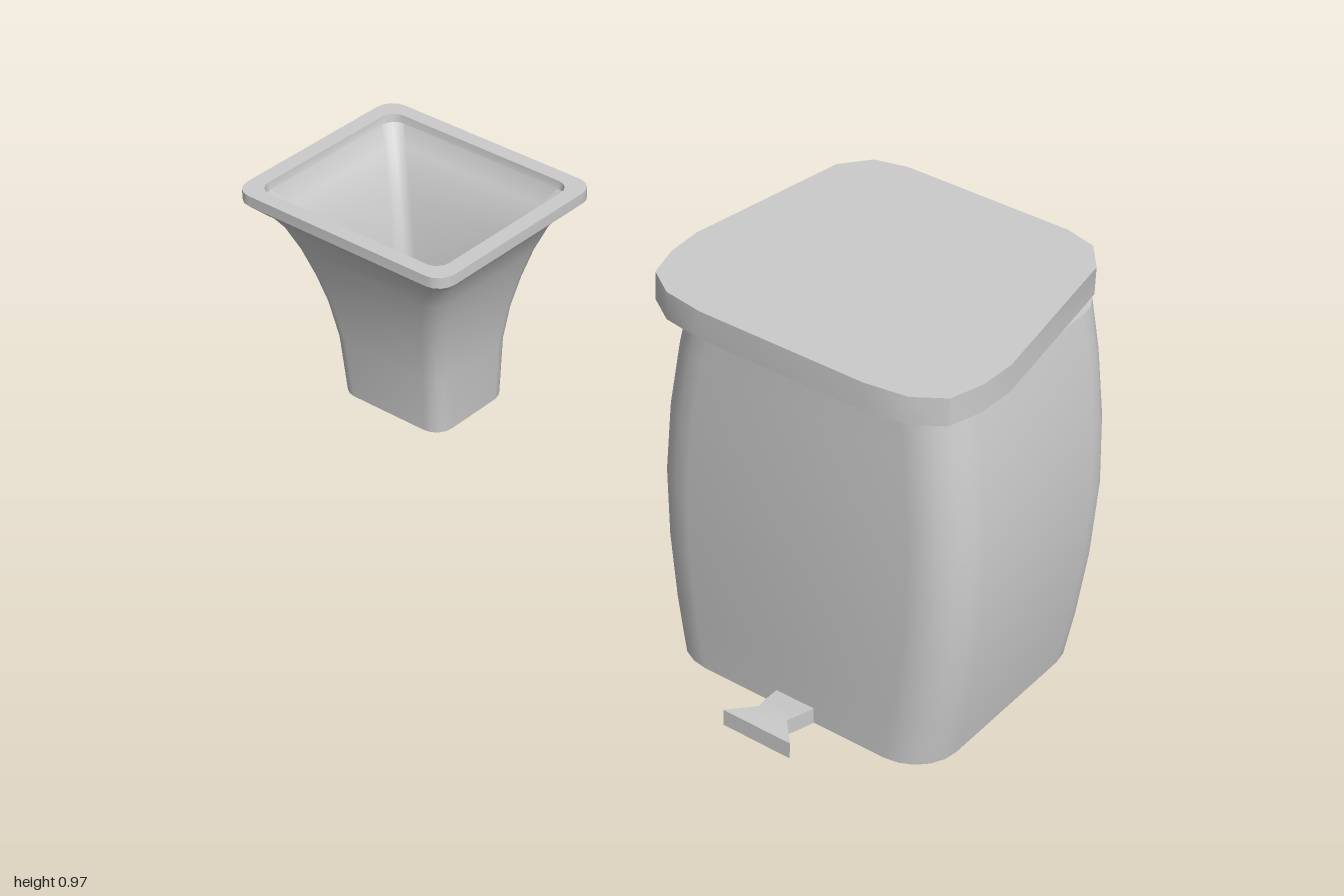
import * as THREE from 'three';
import { toCreasedNormals } from 'three/addons/utils/BufferGeometryUtils.js';

const material = new THREE.MeshStandardMaterial({ color: 0xcccccc });
const CREASE = 0.6;

function addMesh(parent, name, geometry, x = 0, y = 0, z = 0) {
  const mesh = new THREE.Mesh(geometry, material);
  mesh.name = name;
  mesh.position.set(x, y, z);
  parent.add(mesh);
}

// Rounded-rectangle cross-section at height y.
function ring({ y, hx, hz, r }, steps) {
  const points = [];
  for (let q = 0; q < 4; q++) {
    const sx = q === 0 || q === 3 ? 1 : -1;
    const sz = q < 2 ? 1 : -1;
    for (let i = 0; i <= steps; i++) {
      const a = (q + i / steps) * Math.PI / 2;
      points.push([sx * (hx - r) + r * Math.cos(a), y, sz * (hz - r) + r * Math.sin(a)]);
    }
  }
  return points;
}

// Skin stacked sections and cap the first and last.
function loft(sections, steps) {
  const positions = [], indices = [];
  const n = 4 * (steps + 1), last = (sections.length - 1) * n;
  for (const s of sections) positions.push(...ring(s, steps).flat());
  const c0 = positions.length / 3;
  positions.push(0, sections[0].y, 0, 0, sections[sections.length - 1].y, 0);
  for (let j = 0; j < n; j++) {
    const k = (j + 1) % n;
    for (let o = 0; o < last; o += n) {
      indices.push(o + j, o + n + j, o + k, o + k, o + n + j, o + n + k);
    }
    indices.push(c0, j, k, c0 + 1, last + k, last + j);
  }
  const g = new THREE.BufferGeometry();
  g.setAttribute('position', new THREE.Float32BufferAttribute(positions, 3));
  g.setIndex(indices);
  return toCreasedNormals(g, CREASE);
}

// Bulging bin body.
function bodyGeometry() {
  const rows = [[0, 0.345, 0.3], [0.12, 0.364, 0.304], [0.28, 0.382, 0.308], [0.45, 0.39, 0.31],
    [0.62, 0.382, 0.308], [0.78, 0.362, 0.304], [0.895, 0.34, 0.3]];
  return loft(rows.map(([y, hx, hz]) => ({ y, hx, hz, r: 0.11 })), 5);
}

// Lid outline narrows towards the hinge.
function lidGeometry() {
  const half = [[0.2, 0.34], [0.295, 0.325], [0.36, 0.28], [0.383, 0.2], [0.387, 0.11],
    [0.325, -0.29], [0.275, -0.355], [0.2, -0.375]];
  const outline = [...half, ...half.map(([x, z]) => [-x, z]).reverse()];
  const shape = new THREE.Shape(outline.map(([x, z]) => new THREE.Vector2(x, -z)));
  const g = new THREE.ExtrudeGeometry(shape, { depth: 0.065, bevelEnabled: false });
  return toCreasedNormals(g.rotateX(-Math.PI / 2), CREASE);
}

// Pedal: a box bent upward, pinched at the neck and flared at the toe.
function pedalGeometry() {
  const stations = [[0.26, 0.05, 0.017], [0.31, 0.044, 0.026], [0.35, 0.037, 0.032], [0.406, 0.087, 0.032]];
  const g = new THREE.BoxGeometry(2, 0.04, 1, 1, 1, stations.length - 1);
  const p = g.attributes.position;
  for (let i = 0; i < p.count; i++) {
    const [z, w, y] = stations[Math.round((p.getZ(i) + 0.5) * (stations.length - 1))];
    p.setXYZ(i, p.getX(i) * w, p.getY(i) + y, z);
  }
  return toCreasedNormals(g, CREASE);
}

// Flared open basket: outside up, over the rim, inside down to the floor.
function basketGeometry() {
  const outer = [[0.12, 0.155], [0.27, 0.164], [0.37, 0.18], [0.45, 0.2], [0.52, 0.222], [0.58, 0.247], [0.61, 0.268], [0.648, 0.312], [0.675, 0.312]];
  const inner = [[0.675, 0.272], [0.655, 0.27], [0.615, 0.238], [0.58, 0.216], [0.52, 0.192], [0.45, 0.171], [0.37, 0.152], [0.27, 0.137], [0.14, 0.128]];
  const outside = outer.map(([y, hx]) => ({ y, hx, hz: hx * 0.9 - 0.019, r: 0.045 }));
  const inside = inner.map(([y, hx]) => ({ y, hx, hz: hx * 0.91 - 0.023, r: 0.035 }));
  return loft([...outside, ...inside], 4);
}

export function createModel() {
  const model = new THREE.Group();
  model.name = 'binAndBasket';

  const bin = new THREE.Group();
  bin.name = 'pedalBin';
  bin.position.x = 0.605;
  model.add(bin);
  addMesh(bin, 'binBody', bodyGeometry(), 0, 0, -0.03);
  addMesh(bin, 'binLid', lidGeometry(), -0.005, 0.9, 0);
  addMesh(bin, 'lidHinge', new THREE.CylinderGeometry(0.036, 0.036, 0.165, 24).rotateZ(Math.PI / 2), 0.003, 0.9, -0.372);
  addMesh(bin, 'footPedal', pedalGeometry(), 0.007, 0, 0);

  addMesh(model, 'basket', basketGeometry(), -0.688, 0, -0.012);
  return model;
}
